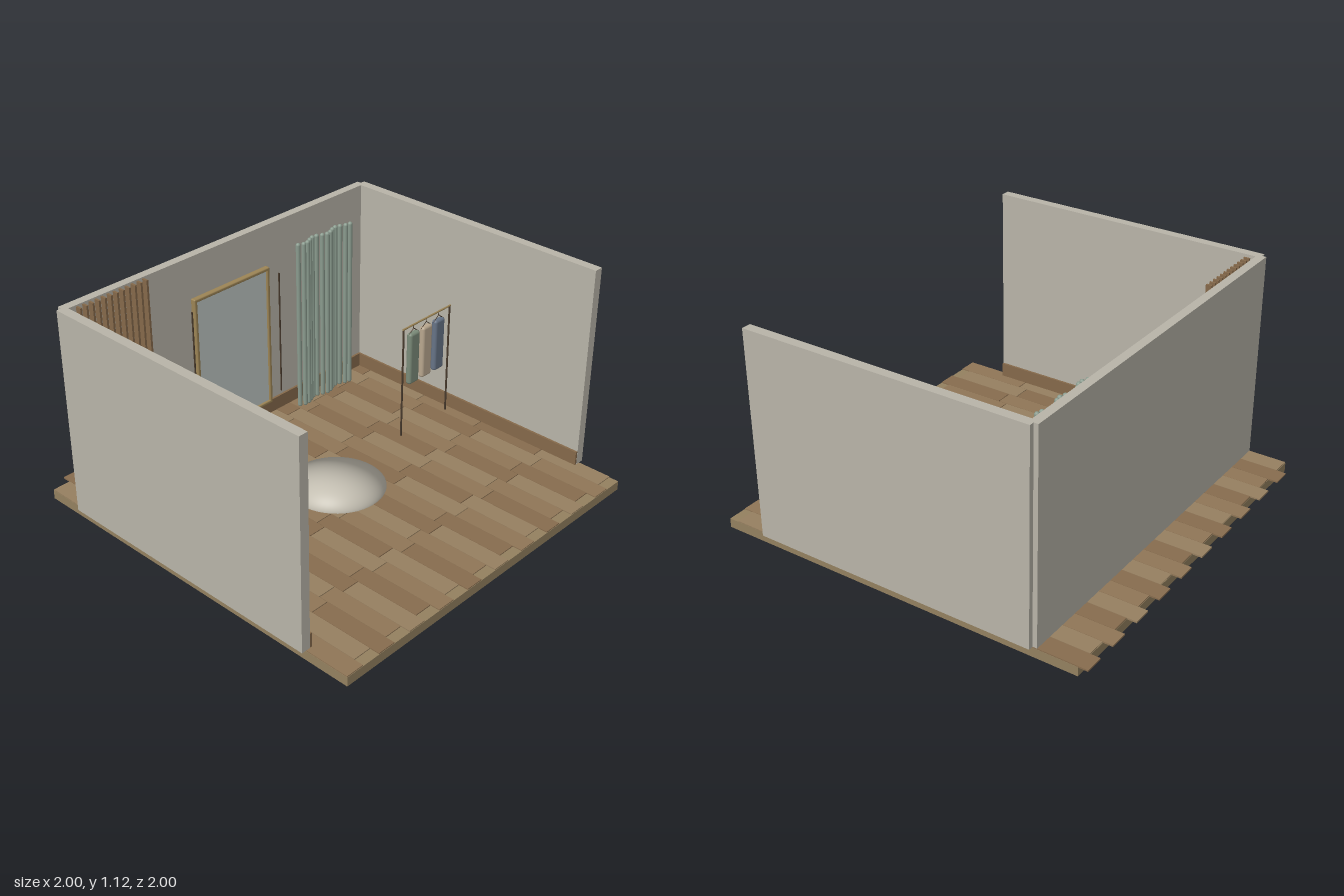
import * as THREE from 'three';
import { RoundedBoxGeometry } from 'three/addons/geometries/RoundedBoxGeometry.js';

const mat = (color) => new THREE.MeshStandardMaterial({ color });
const wallMat = mat(0xb8b4a8), slabMat = mat(0x93805f), trimMat = mat(0x85694a);
const darkMat = mat(0x4a3c2e), brassMat = mat(0x9c8455), creamMat = mat(0xc4bfb2);
const plankMats = [0x967f60, 0x876c4e, 0x8f7556].map(mat);

export function createModel() {
  const root = new THREE.Group();

  const add = (name, geometry, material, x, y, z, parent = root) => {
    const mesh = new THREE.Mesh(geometry, material);
    mesh.name = name;
    mesh.position.set(x, y, z);
    parent.add(mesh);
    return mesh;
  };
  const box = (name, w, h, d, material, x, y, z, parent) =>
    add(name, new THREE.BoxGeometry(w, h, d), material, x, y, z, parent);
  const rounded = (name, w, h, d, r, material, x, y, z, parent) =>
    add(name, new RoundedBoxGeometry(w, h, d, 3, r), material, x, y, z, parent);
  const rod = (name, r, length, material, x, y, z, parent) =>
    add(name, new THREE.CylinderGeometry(r, r, length, 12), material, x, y, z, parent);
  const group = (name) => {
    const g = new THREE.Group();
    g.name = name;
    root.add(g);
    return g;
  };

  // Floor slab with staggered planks; every second column is shifted backwards
  box('floorSlab', 1.95, 0.048, 1.95, slabMat, 0, 0.024, 0.025);
  const planks = group('floorPlanks');
  for (let i = 0; i < 20; i++) {
    for (let j = 0; j < 5; j++) {
      const z = -0.755 + j * 0.39 - (i % 2) * 0.05;
      box('plank', 0.0955, 0.008, 0.386, plankMats[(i + 2 * j) % 3],
        -0.926 + i * 0.0975, 0.049, z, planks);
    }
  }

  // Walls and baseboards
  box('backWall', 1.95, 1.07, 0.045, wallMat, 0, 0.588, -0.7265);
  box('backBaseboard', 1.9, 0.075, 0.012, trimMat, 0, 0.09, -0.698);
  for (const s of [-1, 1]) {
    box('sideWall', 0.048, 1.07, 1.492, wallMat, s * 0.976, 0.588, 0.02);
    box('sideBaseboard', 0.012, 0.075, 1.46, trimMat, s * 0.946, 0.09, 0.035);
  }

  // Vertical slats
  const slats = group('wallSlats');
  for (let i = 0; i < 12; i++) {
    box('slat', 0.011, 1.07, 0.03, trimMat, -0.914 + i * 0.0345, 0.588, -0.677, slats);
  }

  // Mirror with a rounded frame and a slim strip on each side
  const mirror = group('wallMirror');
  box('mirrorGlass', 0.48, 0.765, 0.012, mat(0xbcc5c2), 0, 0.517, -0.69, mirror);
  for (const s of [-1, 1]) {
    rounded('frameSide', 0.018, 0.785, 0.03, 0.006, brassMat, s * 0.241, 0.517, -0.688, mirror);
    rounded('frameRail', 0.5, 0.018, 0.03, 0.006, brassMat, 0, 0.517 + s * 0.383, -0.688, mirror);
    box('sideStrip', 0.005, 0.68, 0.007, darkMat, s * 0.29, 0.53, -0.65, mirror);
  }

  // Curtain of round pleats following a wave
  const curtain = group('curtain');
  const curtainMat = mat(0x8b9c8f);
  for (let i = 0; i < 14; i++) {
    add('pleat', new THREE.CapsuleGeometry(0.0125, 0.92, 4, 12), curtainMat,
      0.378 + i * 0.0281, 0.5475, -0.6 + 0.013 * Math.sin(i * 1.1), curtain);
  }

  // Stool
  const stool = group('stool');
  rounded('stoolSeat', 0.277, 0.045, 0.187, 0.021, creamMat, -0.571, 0.212, -0.03, stool);
  for (const x of [-0.667, -0.475]) {
    for (const z of [-0.09, 0.03]) rod('stoolLeg', 0.007, 0.145, darkMat, x, 0.125, z, stool);
  }

  // Round rug: a very flat dome that keeps the soft shading of a full dome
  const rug = new THREE.SphereGeometry(0.245, 48, 20, 0, Math.PI * 2, 0, Math.PI / 2);
  const p = rug.attributes.position;
  for (let i = 0; i < p.count; i++) p.setY(i, p.getY(i) * 0.04);
  add('roundRug', rug, creamMat, 0, 0.053, 0.02);

  // Clothes rack with three garments on hangers
  const rack = group('clothesRack');
  const rackZ = -0.046;
  for (const x of [0.552, 0.906]) rod('rackPost', 0.005, 0.62, darkMat, x, 0.362, rackZ, rack);
  rod('rackBar', 0.005, 0.365, brassMat, 0.729, 0.67, rackZ, rack).rotation.z = Math.PI / 2;
  [0x7b8b79, 0xb9a78f, 0x667386].forEach((color, i) => {
    const x = 0.627 + i * 0.0965;
    rounded('garment', 0.073, 0.29, 0.034, 0.014, mat(color), x, 0.485, rackZ, rack);
    rod('hangerHook', 0.002, 0.022, darkMat, x, 0.659, rackZ, rack);
    for (const s of [-1, 1]) {
      rod('hangerArm', 0.002, 0.046, darkMat, x + s * 0.018, 0.636, rackZ, rack).rotation.z = s * 0.9;
    }
  });

  return root;
}
